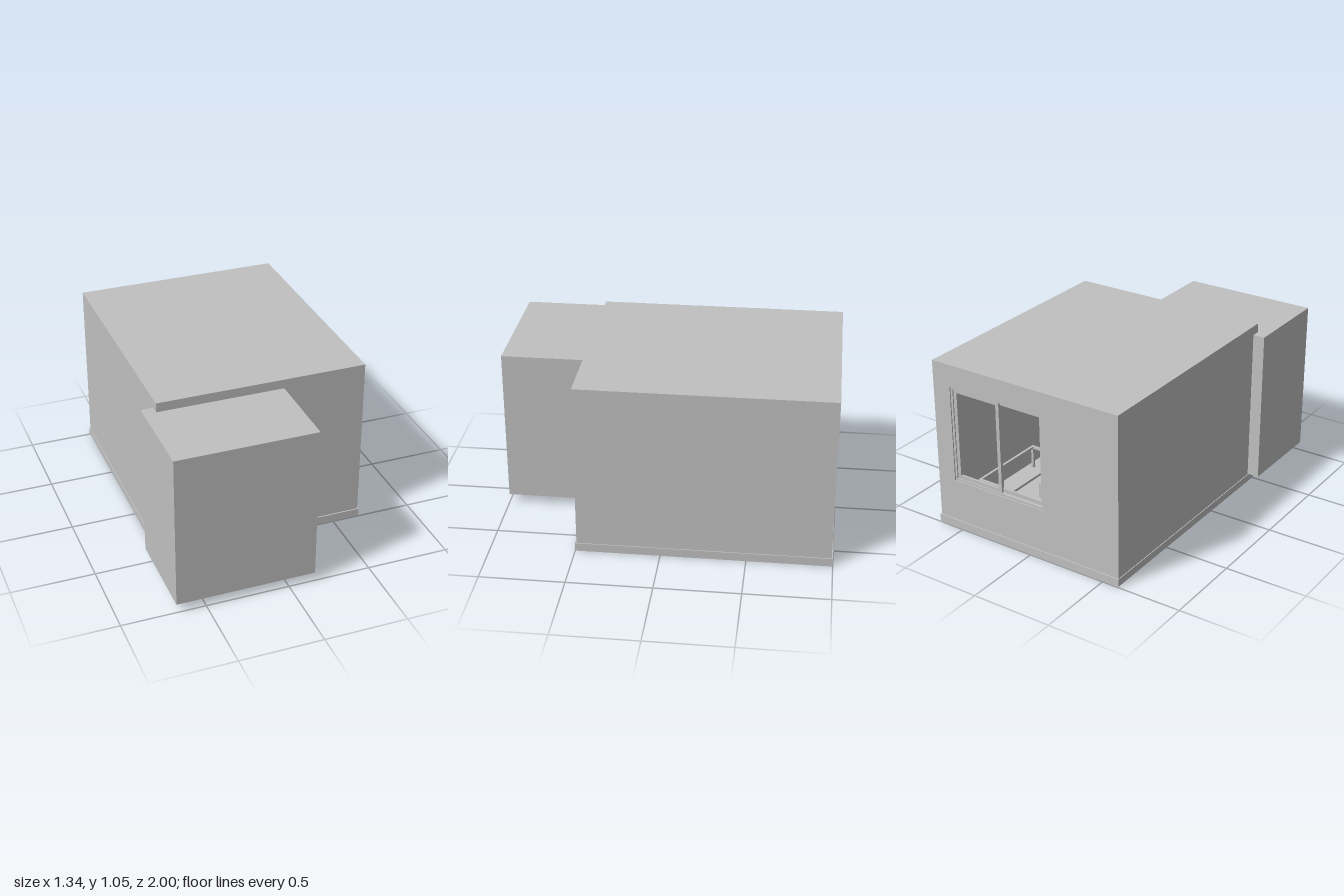
import * as THREE from 'three';

export function createModel() {
  const room = new THREE.Group();
  room.name = 'room';
  const grey = new THREE.MeshStandardMaterial({ color: 0xc0c0c0 });
  grey.name = 'plain grey';

  // Box given by its minimum and maximum on each axis
  function block(name, x0, x1, y0, y1, z0, z1, parent = room) {
    const mesh = new THREE.Mesh(new THREE.BoxGeometry(x1 - x0, y1 - y0, z1 - z0), grey);
    mesh.position.set((x0 + x1) / 2, (y0 + y1) / 2, (z0 + z1) / 2);
    mesh.name = name;
    parent.add(mesh);
    return mesh;
  }

  // Rectangular frame in the xy plane
  function frame(name, x0, x1, y0, y1, z0, z1, t) {
    const g = new THREE.Group();
    g.name = name;
    block('leftStile', x1 - t, x1, y0, y1, z0, z1, g);
    block('rightStile', x0, x0 + t, y0, y1, z0, z1, g);
    block('topRail', x0 + t, x1 - t, y1 - t, y1, z0, z1, g);
    block('bottomRail', x0 + t, x1 - t, y0, y0 + t, z0, z1, g);
    room.add(g);
  }

  // Floor slab and roof
  block('floorBase', -0.602, 0.666, 0, 0.006, -0.997, 0.497);
  block('floorSlab', -0.607, 0.668, 0.006, 0.052, -1, 0.5);
  block('roof', -0.602, 0.662, 0.995, 1.05, -0.992, 0.492);

  // Side and front walls
  block('leftWall', 0.607, 0.662, 0.052, 0.995, -0.937, 0.437);
  block('rightWall', -0.602, -0.547, 0.052, 0.995, -0.937, 0.437);
  block('frontWall', -0.602, 0.662, 0.052, 0.995, 0.437, 0.492);

  // Back wall with the window opening
  const wall = new THREE.Shape([[-0.602, 0.052], [0.662, 0.052], [0.662, 0.995], [-0.602, 0.995]]
    .map(([x, y]) => new THREE.Vector2(x, y)));
  wall.holes.push(new THREE.Path([[-0.1, 0.315], [-0.1, 0.915], [0.543, 0.915], [0.543, 0.315]]
    .map(([x, y]) => new THREE.Vector2(x, y))));
  const backWall = new THREE.Mesh(
    new THREE.ExtrudeGeometry(wall, { depth: 0.055, bevelEnabled: false }), grey);
  backWall.position.z = -0.992;
  backWall.name = 'backWall';
  room.add(backWall);

  // Sliding window: outer frame and two open sashes
  frame('windowFrame', -0.1, 0.543, 0.315, 0.915, -0.985, -0.945, 0.014);
  frame('leftSash', 0.207, 0.529, 0.329, 0.901, -0.978, -0.964, 0.022);
  frame('rightSash', -0.086, 0.236, 0.329, 0.901, -0.964, -0.95, 0.022);

  // Annex in front, flush with the inner face of the front wall
  block('annex', -0.675, 0.16, 0.055, 0.994, 0.438, 1);

  // Lowered ceiling along the right side
  block('soffit', -0.547, -0.16, 0.9, 0.995, -0.937, 0.437);

  // Open bed frame by the left wall
  const bed = new THREE.Group();
  bed.name = 'bedFrame';
  for (const x of [0.32, 0.565]) {
    block('sideRail', x - 0.008, x + 0.008, 0.185, 0.2, -0.75, -0.22, bed);
    for (const z of [-0.742, -0.228])
      block('leg', x - 0.008, x + 0.008, 0.052, 0.185, z - 0.008, z + 0.008, bed);
  }
  for (const z of [-0.742, -0.228])
    block('endRail', 0.328, 0.557, 0.185, 0.2, z - 0.008, z + 0.008, bed);
  room.add(bed);

  // Small stool
  block('stool', 0.2, 0.3, 0.052, 0.15, -0.52, -0.42);

  return room;
}
